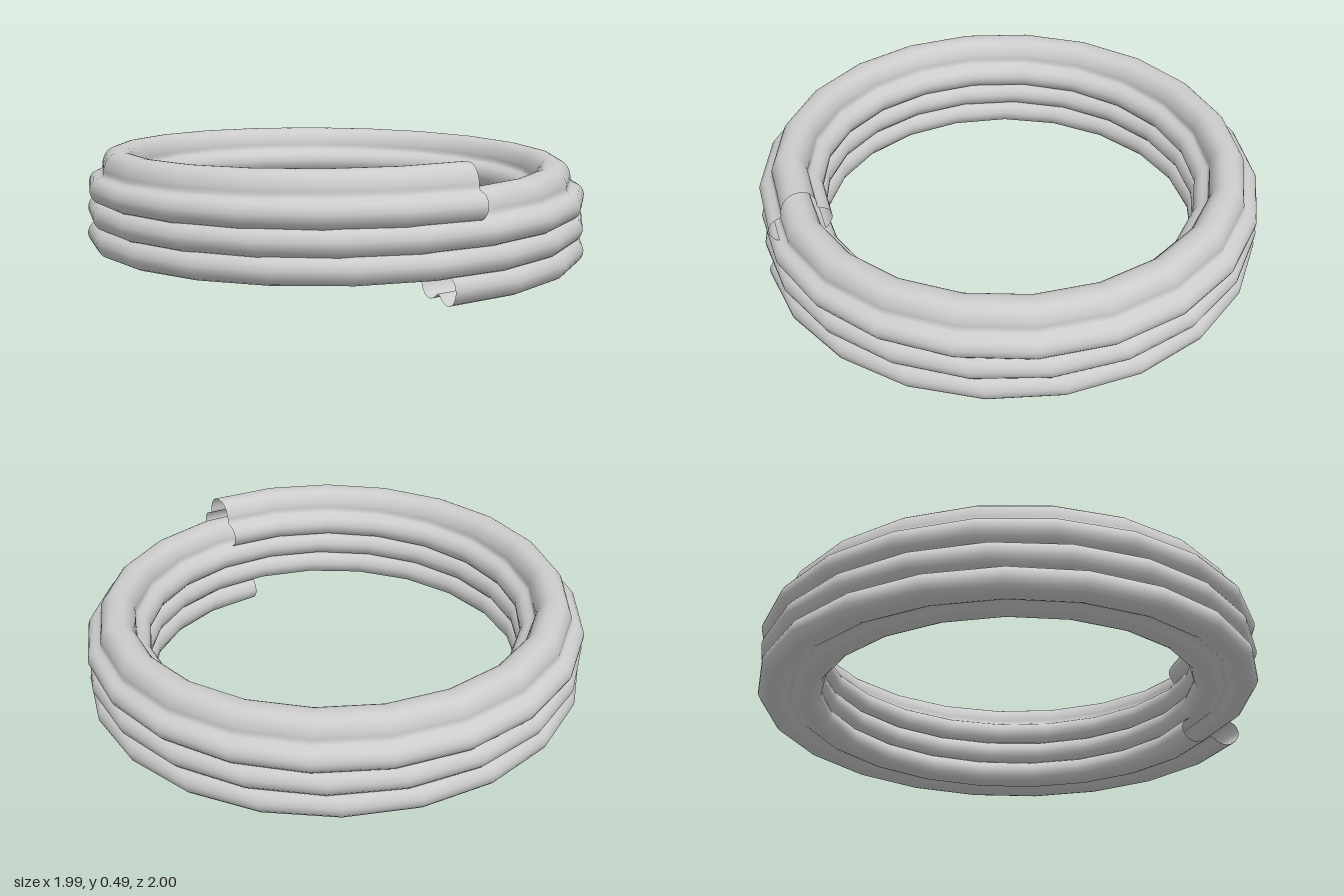
import * as THREE from 'three';

const TURN = Math.PI * 2;
const ANGLE = 3 * TURN + 0.13; // three turns and a little overlap
const SEGMENTS = 64;
const PITCH = 0.096;
const RADIUS = 0.873;

// Three-lobed cross-section: two lobes below, one on top (x = radial offset, y = height)
function lobedProfile() {
  const half = [
    [0.03, 0.01], [0.065, 0], [0.105, 0.014], [0.126, 0.055], [0.11, 0.094],
    [0.072, 0.112], [0.069, 0.14], [0.054, 0.175], [0.03, 0.195],
  ];
  const mirrored = half.map(([x, y]) => [-x, y]).reverse();
  const points = [[0, 0.03], ...half, [0, 0.2], ...mirrored];
  const curve = new THREE.CatmullRomCurve3(
    points.map(([x, y]) => new THREE.Vector3(x, y, 0)), true, 'centripetal');
  return curve.getPoints(48).slice(0, -1);
}

// Sweep the profile along a rising helix, leaving both ends open
function helixSweep(profile) {
  const n = profile.length;
  const positions = [];
  const indices = [];
  for (let i = 0; i <= SEGMENTS; i++) {
    const t = (i / SEGMENTS) * ANGLE;
    const rise = (t / TURN) * PITCH;
    for (const p of profile) {
      const r = RADIUS + p.x;
      positions.push(r * Math.sin(t), p.y + rise, r * Math.cos(t));
    }
  }
  for (let i = 0; i < SEGMENTS; i++) {
    for (let j = 0; j < n; j++) {
      const k = (j + 1) % n;
      const a = i * n + j, b = a + n, c = i * n + k, d = c + n;
      indices.push(a, b, c, b, d, c);
    }
  }
  const geometry = new THREE.BufferGeometry();
  geometry.setAttribute('position', new THREE.Float32BufferAttribute(positions, 3));
  geometry.setIndex(indices);
  geometry.computeVertexNormals();
  return geometry;
}

export function createModel() {
  const group = new THREE.Group();
  group.name = 'coil';
  const material = new THREE.MeshStandardMaterial({ color: 0xcccccc, side: THREE.DoubleSide });
  const coil = new THREE.Mesh(helixSweep(lobedProfile()), material);
  coil.name = 'coiledTube';
  group.add(coil);
  return group;
}
